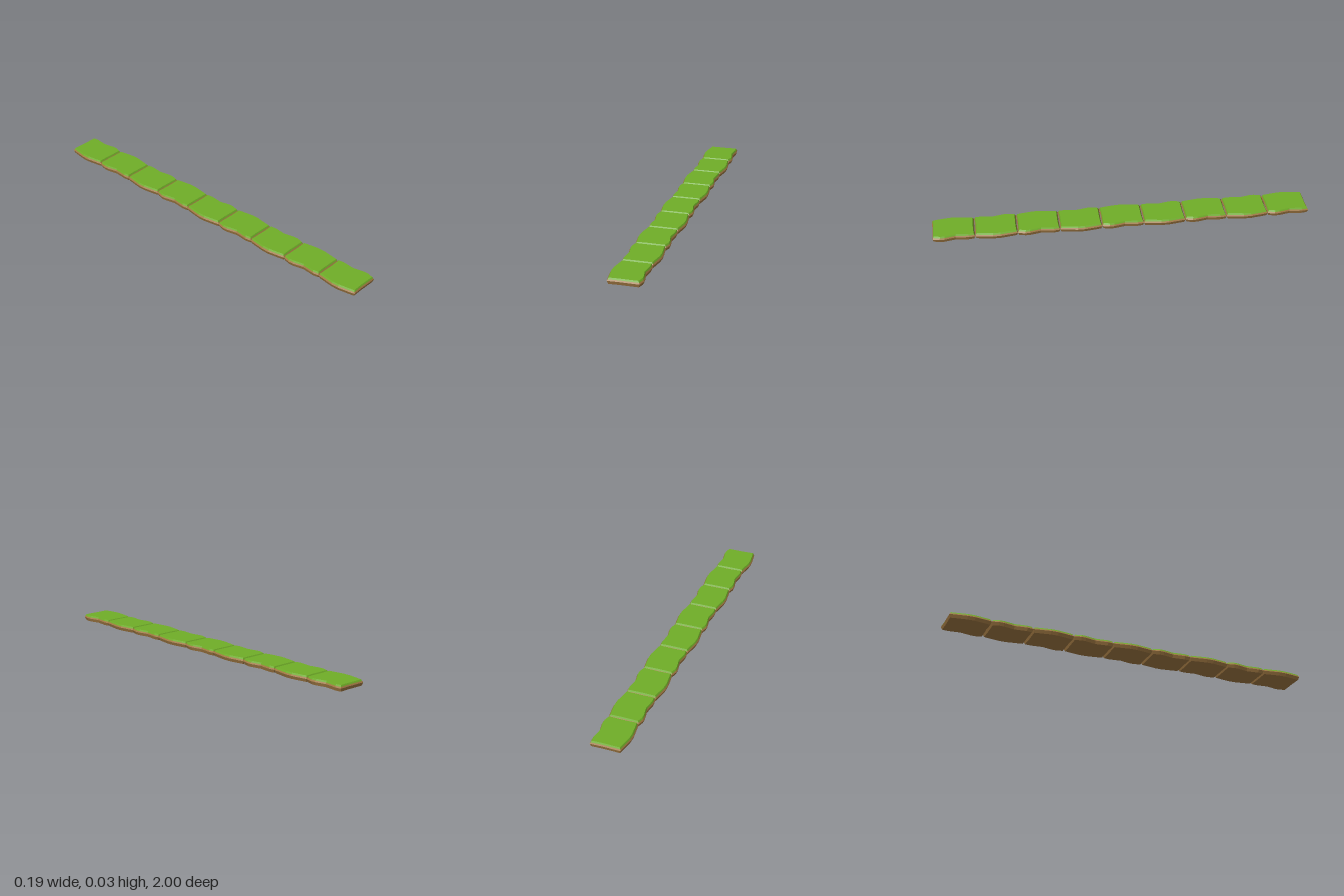
import * as THREE from 'three';

const COUNT = 9, LENGTH = 2 / COUNT, HALF = LENGTH / 2;

// Outline of one tile at its widest level, anticlockwise from above: [x, z]
const outline = [
  [0.08, HALF], [0.09, 0.075], [0.089, 0.05], [0.076, -0.01], [0.084, -0.08], [0.08, -HALF],
  [0.02, -HALF + 0.002], [-0.08, -HALF],
  [-0.095, -0.02], [-0.095, 0.02], [-0.085, 0.085], [-0.08, HALF], [-0.02, HALF - 0.002],
];

// One level of the tile: the outline drawn inwards by an inset at height y
function ring(y, inset) {
  return outline.map(([x, z]) => new THREE.Vector3(x * (1 - inset / 0.085), y, z * (1 - inset / HALF)));
}

// Joins rings from bottom to top and closes the chosen ends
function loft(rings, capBottom, capTop) {
  const points = [];
  for (let r = 0; r < rings.length - 1; r++) {
    const low = rings[r], high = rings[r + 1];
    low.forEach((a, i) => {
      const j = (i + 1) % low.length;
      points.push(a, low[j], high[j], a, high[j], high[i]);
    });
  }
  const cap = (level, flip) => {
    const flat = level.map((p) => new THREE.Vector2(p.x, -p.z));
    for (const [a, b, c] of THREE.ShapeUtils.triangulateShape(flat, [])) {
      points.push(level[a], level[flip ? c : b], level[flip ? b : c]);
    }
  };
  if (capBottom) cap(rings[0], true);
  if (capTop) cap(rings[rings.length - 1], false);
  const geometry = new THREE.BufferGeometry().setFromPoints(points);
  geometry.computeVertexNormals();
  return geometry;
}

export function createModel() {
  const model = new THREE.Group();
  model.name = 'grassPath';
  const earth = new THREE.MeshStandardMaterial({ color: 0xa07842, flatShading: true });
  const grass = new THREE.MeshStandardMaterial({ color: 0x70ae28, flatShading: true });

  const seam = ring(0.024, 0.004);
  const earthGeometry = loft([ring(0, 0.006), ring(0.017, 0), seam], true, false);
  const grassGeometry = loft([seam, ring(0.032, 0.008)], false, true);

  // Row of tiles, every second one turned round
  for (let i = 0; i < COUNT; i++) {
    const tile = new THREE.Group();
    tile.name = `tile${i + 1}`;
    const base = new THREE.Mesh(earthGeometry, earth);
    base.name = 'earthBase';
    const top = new THREE.Mesh(grassGeometry, grass);
    top.name = 'grassTop';
    tile.add(base, top);
    tile.position.z = -1 + HALF + i * LENGTH;
    tile.rotation.y = i % 2 ? Math.PI : 0;
    model.add(tile);
  }
  return model;
}
